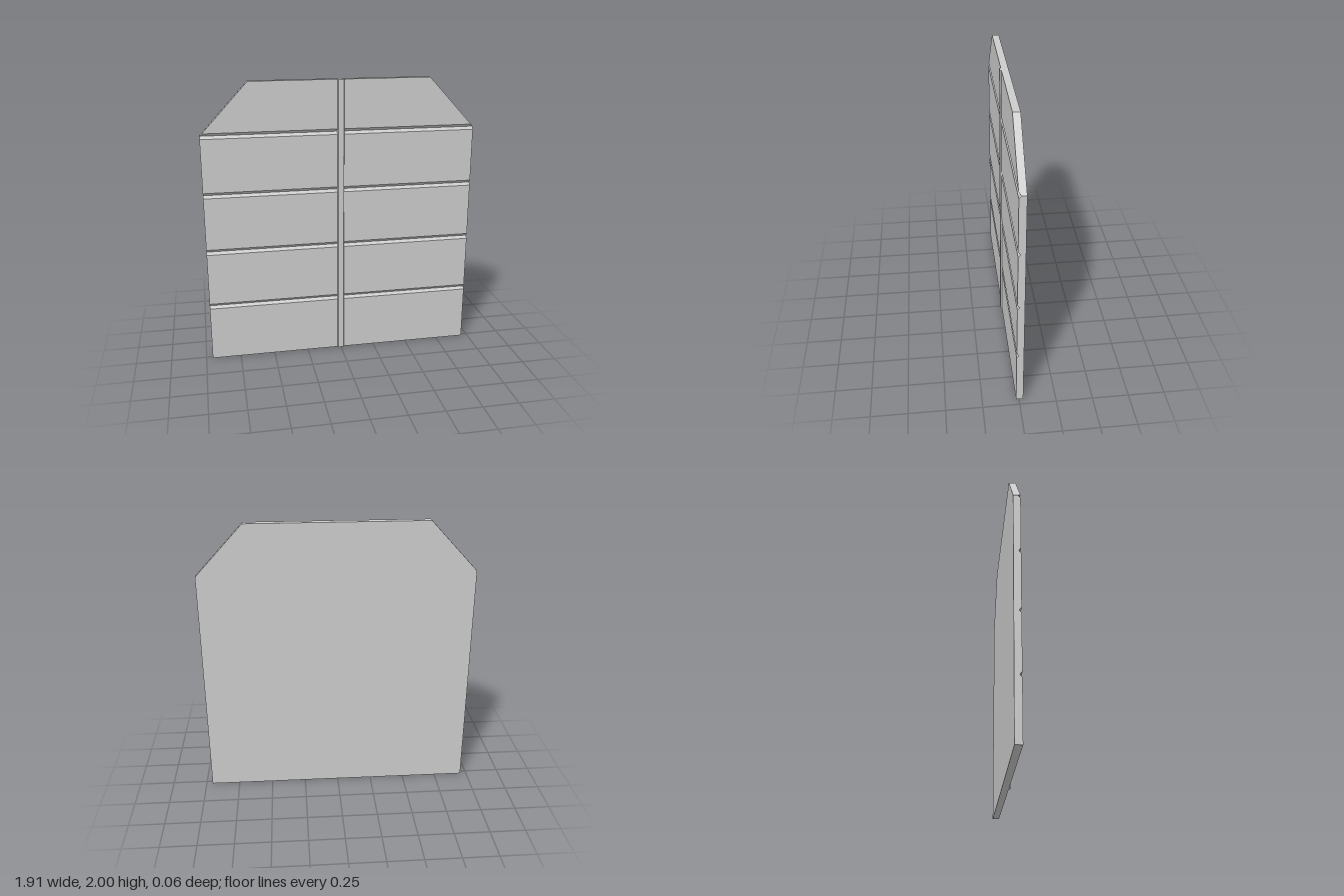
import * as THREE from 'three';

const HALF_WIDTH = 0.955, TOP_HALF = 0.625, SHOULDER = 1.645, HEIGHT = 2;
const BACK = -0.029, FRONT = 0.019, RIB_FRONT = 0.029;
const GROOVES = [0.412, 0.823, 1.234, SHOULDER];
const GROOVE_HALF = 0.02, GROOVE_Z = 0.004;

// Half width of the panel at a height: straight sides, then cut corners
function halfWidth(y) {
  const t = Math.max(0, (y - SHOULDER) / (HEIGHT - SHOULDER));
  return THREE.MathUtils.lerp(HALF_WIDTH, TOP_HALF, t);
}

// Panel lofted upward through rectangles; the front dips in at each V groove
function panelGeometry() {
  const levels = [[0, FRONT]];
  for (const y of GROOVES) {
    levels.push([y - GROOVE_HALF, FRONT], [y, GROOVE_Z], [y + GROOVE_HALF * 0.9, FRONT]);
  }
  levels.push([HEIGHT, FRONT]);

  const rings = levels.map(([y, front]) => {
    const w = halfWidth(y);
    return [[-w, y, front], [w, y, front], [w, y, BACK], [-w, y, BACK]];
  });

  const positions = [];
  const quad = (a, b, c, d) => positions.push(...a, ...b, ...c, ...a, ...c, ...d);
  for (let i = 0; i < rings.length - 1; i++) {
    const lo = rings[i], hi = rings[i + 1];
    for (let k = 0; k < 4; k++) {
      const n = (k + 1) % 4;
      quad(lo[k], lo[n], hi[n], hi[k]);
    }
  }
  const [b0, b1, b2, b3] = rings[0];
  quad(b0, b3, b2, b1);
  quad(...rings[rings.length - 1]);

  const geometry = new THREE.BufferGeometry();
  geometry.setAttribute('position', new THREE.Float32BufferAttribute(positions, 3));
  geometry.computeVertexNormals();
  return geometry;
}

// Centre rib: a slightly tapered bar that also fills the grooves behind it
function ribGeometry() {
  const shape = new THREE.Shape([
    new THREE.Vector2(-0.024, 0),
    new THREE.Vector2(-0.024, -FRONT),
    new THREE.Vector2(-0.019, -RIB_FRONT),
    new THREE.Vector2(0.019, -RIB_FRONT),
    new THREE.Vector2(0.024, -FRONT),
    new THREE.Vector2(0.024, 0),
  ]);
  return new THREE.ExtrudeGeometry(shape, { depth: HEIGHT, bevelEnabled: false }).rotateX(-Math.PI / 2);
}

export function createModel() {
  const group = new THREE.Group();
  group.name = 'groovedPanel';
  const material = new THREE.MeshStandardMaterial({ color: 0xcccccc, flatShading: true });

  const panel = new THREE.Mesh(panelGeometry(), material);
  panel.name = 'panel';
  const rib = new THREE.Mesh(ribGeometry(), material);
  rib.name = 'centreRib';

  group.add(panel, rib);
  return group;
}
